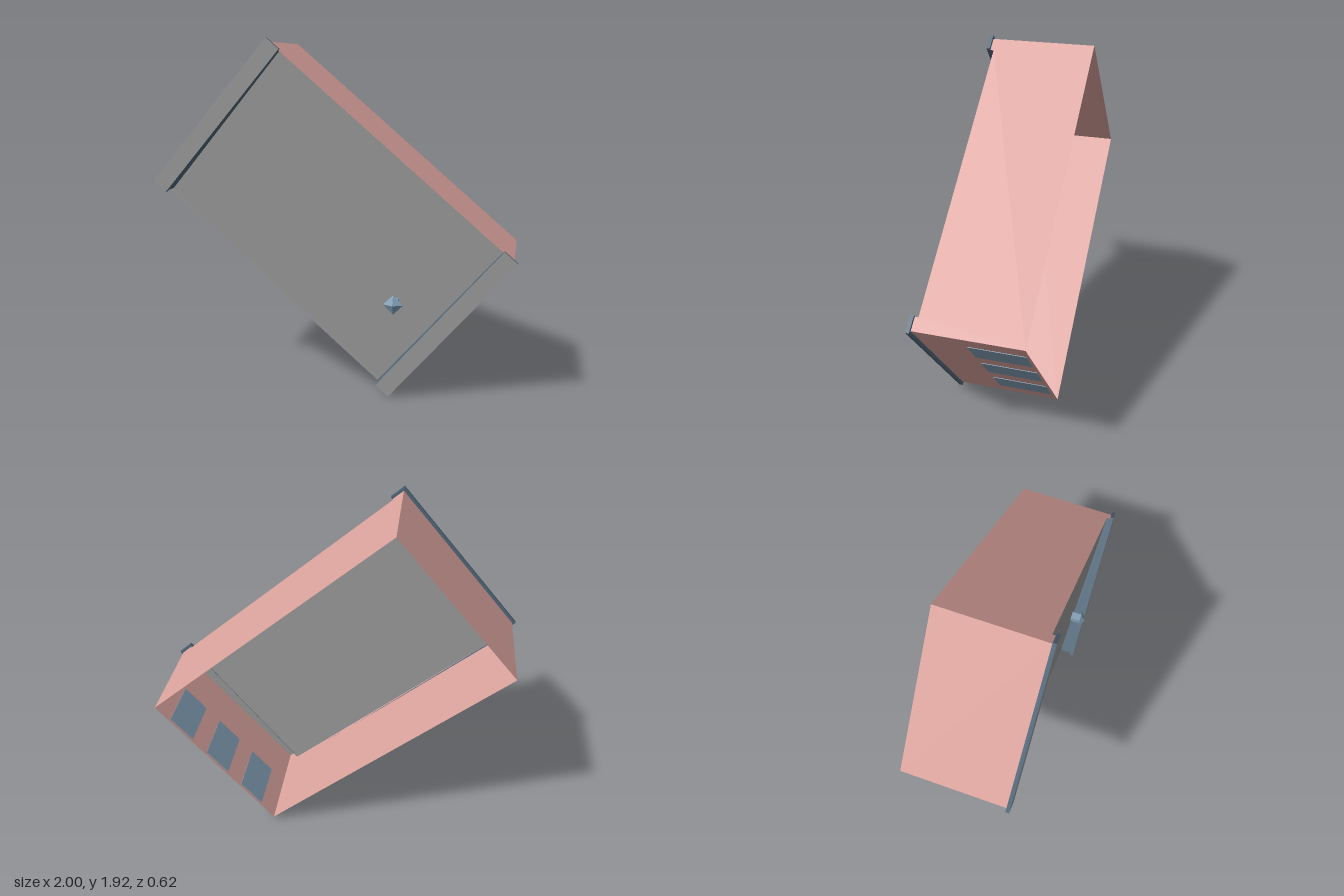
import * as THREE from 'three';

const TILT = -40.6 * Math.PI / 180;
const HX = 0.86, HY = 0.497;             // half length and half width of the shell
const BACK = -0.31, RIM = 0.265;
const PANEL_HIGH = 0.246, PANEL_LOW = 0.198;   // the front panel leans back at its lower side
const STEP = 0.783;                      // where the end trims begin

const mat = (name, color, side = THREE.FrontSide) => {
  const m = new THREE.MeshStandardMaterial({ color, side, flatShading: true });
  m.name = name;
  return m;
};

// Long wall outline in x and z, lower along the middle of its front edge
const wallShape = (front) => new THREE.Shape([
  [-HX, BACK], [HX, BACK], [HX, RIM], [STEP, RIM], [STEP, front],
  [-STEP, front], [-STEP, RIM], [-HX, RIM],
].map(([x, z]) => new THREE.Vector2(x, -z)));

export function createModel() {
  const pink = mat('pinkWall', 0xdca39e, THREE.DoubleSide);
  const grey = mat('greyPanel', 0x9a9a9a, THREE.DoubleSide);
  const slate = mat('slateBlue', 0x829fb6);
  const dark = mat('darkSlate', 0x52687a);

  const model = new THREE.Group();
  model.name = 'tiltedCase';
  const body = new THREE.Group();
  body.name = 'caseBody';
  body.rotation.z = TILT;
  body.position.y = 0.958;
  model.add(body);

  const add = (name, geo, material, x = 0, y = 0, z = 0, parent = body) => {
    const mesh = new THREE.Mesh(geo, material);
    mesh.name = name;
    mesh.position.set(x, y, z);
    parent.add(mesh);
    return mesh;
  };
  const box = (name, w, h, d, material, x, y, z) =>
    add(name, new THREE.BoxGeometry(w, h, d), material, x, y, z);

  // Long walls
  for (const [y, front] of [[HY, PANEL_HIGH], [-HY, PANEL_LOW]]) {
    const wall = add('longWall', new THREE.ShapeGeometry(wallShape(front)), pink, 0, y, 0);
    wall.rotation.x = -Math.PI / 2;
  }

  // Tapered step between panel and trim, drawn in z and y
  const stepShape = new THREE.Shape([
    [RIM, -HY], [RIM, HY], [PANEL_HIGH, HY], [PANEL_LOW, -HY],
  ].map(([z, y]) => new THREE.Vector2(-z, y)));
  const stepGeo = new THREE.ExtrudeGeometry(stepShape, { depth: 0.003, bevelEnabled: false })
    .rotateY(Math.PI / 2);

  // End walls and front trims; the back is open
  const trimFaces = [dark, dark, dark, dark, grey, dark];
  for (const s of [-1, 1]) {
    const end = add('endWall', new THREE.PlaneGeometry(RIM - BACK, 2 * HY), pink,
      s * HX, 0, (RIM + BACK) / 2);
    end.rotation.y = s * Math.PI / 2;
    box('endTrim', 0.876 - STEP, 1.022, 0.02, trimFaces, s * (0.876 + STEP) / 2, 0, 0.275);
    add('trimStep', stepGeo, dark, s > 0 ? STEP : -STEP - 0.003);
    add('trimLining', new THREE.PlaneGeometry(HX - STEP, 2 * HY), grey,
      s * (HX + STEP) / 2, 0, RIM - 0.002);
  }

  // Leaning front panel with a slim ledge along its lower side
  const rise = PANEL_HIGH - PANEL_LOW;
  const panel = add('frontPanel', new THREE.PlaneGeometry(2 * STEP, Math.hypot(2 * HY, rise)),
    grey, 0, 0, (PANEL_HIGH + PANEL_LOW) / 2);
  panel.rotation.x = Math.atan2(rise, 2 * HY);
  box('lowerLedge', 2 * STEP, 0.019, 0.018, trimFaces, 0, -HY - 0.0095, PANEL_LOW - 0.009);

  // Windows showing on both faces of one end wall
  for (const y of [-0.292, 0, 0.292])
    box('window', 0.006, 0.178, 0.3, slate, HX, y, -0.142);

  // Pointed knob on a square stem
  const knob = new THREE.Group();
  knob.name = 'knob';
  knob.position.set(0.556, -0.105, 0);
  knob.rotation.z = -TILT;
  body.add(knob);
  add('knobStem', new THREE.BoxGeometry(0.045, 0.045, 0.06), slate, 0, 0, 0.249, knob);
  add('knobTip', new THREE.ConeGeometry(0.054, 0.029, 4).rotateX(Math.PI / 2), slate,
    0, 0, 0.292, knob);

  return model;
}
